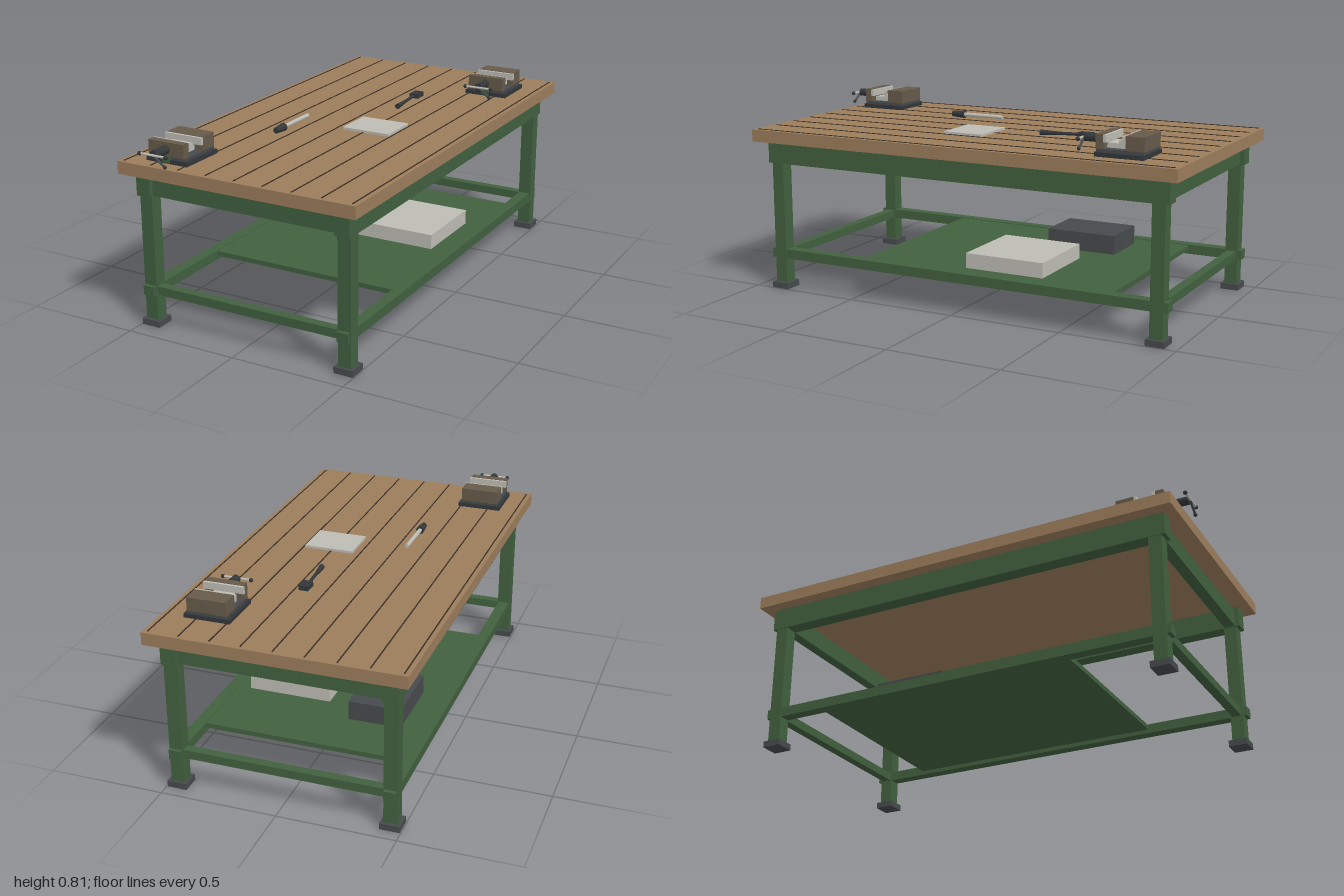
import * as THREE from 'three';

const colour = (name, hex) => {
  const m = new THREE.MeshStandardMaterial({ color: hex });
  m.name = name;
  return m;
};

export function createModel() {
  const wood = colour('wood', 0x9c7d5b);
  const green = colour('greenPaint', 0x41603f);
  const dark = colour('darkMetal', 0x474a4c);
  const black = colour('blackRubber', 0x33373a);
  const light = colour('lightMetal', 0xbdbcb4);
  const bronze = colour('jawMetal', 0x665a4a);
  const seam = colour('seam', 0x3a2f26);

  const group = (name, parent) => {
    const g = new THREE.Group();
    g.name = name;
    if (parent) parent.add(g);
    return g;
  };
  const mesh = (parent, name, geo, mat) => {
    const m = new THREE.Mesh(geo, mat);
    m.name = name;
    parent.add(m);
    return m;
  };
  // Box given by its limits on each axis
  const box = (parent, name, mat, [x0, x1], [y0, y1], [z0, z1]) => {
    const m = mesh(parent, name, new THREE.BoxGeometry(x1 - x0, y1 - y0, z1 - z0), mat);
    m.position.set((x0 + x1) / 2, (y0 + y1) / 2, (z0 + z1) / 2);
    return m;
  };
  // Round bar from point a (radius ra) to point b (radius rb)
  const rod = (parent, name, mat, a, b, ra, rb = ra, sides = 16) => {
    const p = new THREE.Vector3(...a), q = new THREE.Vector3(...b);
    const d = q.clone().sub(p);
    const m = mesh(parent, name, new THREE.CylinderGeometry(rb, ra, d.length(), sides), mat);
    m.position.copy(p).add(q).multiplyScalar(0.5);
    m.quaternion.setFromUnitVectors(new THREE.Vector3(0, 1, 0), d.normalize());
    return m;
  };
  const ball = (parent, name, mat, p, r) =>
    mesh(parent, name, new THREE.SphereGeometry(r, 12, 8), mat).position.set(...p);

  const root = group('workbench');

  // Table and frame share a centre slightly behind the origin
  const table = group('table', root);
  table.position.z = -0.0145;
  box(table, 'tabletop', wood, [-0.537, 0.537], [0.665, 0.718], [-0.985, 0.985]);
  for (let i = -4; i <= 4; i++) {
    const x = i * 0.129;
    box(table, 'plankSeam', seam, [x - 0.0025, x + 0.0025], [0.716, 0.7205], [-0.968, 0.968]);
  }

  for (const s of [-1, 1]) {
    for (const t of [-1, 1]) {
      const x = s * 0.454, z = t * 0.893;
      box(table, 'leg', green, [x - 0.029, x + 0.029], [0.02, 0.665], [z - 0.028, z + 0.028]);
      box(table, 'foot', dark, [x - 0.042, x + 0.042], [0, 0.027], [z - 0.041, z + 0.041]);
    }
    // Long rails run through the legs and stick out at both ends
    const x = s * 0.454;
    box(table, 'sideApron', green, [x - 0.032, x + 0.032], [0.567, 0.662], [-0.938, 0.938]);
    box(table, 'lowerSideRail', green, [x - 0.025, x + 0.025], [0.137, 0.179], [-0.938, 0.938]);
    // Short rails between the legs
    const z = s * 0.893;
    box(table, 'endApron', green, [-0.43, 0.43], [0.57, 0.65], [z - 0.024, z + 0.024]);
    box(table, 'lowerEndRail', green, [-0.43, 0.43], [0.138, 0.175], [z - 0.02, z + 0.02]);
  }
  box(table, 'shelf', green, [-0.44, 0.44], [0.155, 0.176], [-0.69, 0.48]);

  // Boxes stored on the shelf
  box(root, 'lightCrate', light, [0.008, 0.374], [0.176, 0.241], [-0.365, -0.005]);
  box(root, 'darkCrate', dark, [-0.346, -0.116], [0.176, 0.26], [-0.475, -0.155]);

  // Vise, built around its base centre at tabletop height
  const makeVise = (x, z) => {
    const v = group('vise', root);
    v.position.set(x, 0.718, z);
    box(v, 'basePlate', black, [-0.098, 0.098], [0, 0.018], [-0.104, 0.104]);
    box(v, 'baseBody', dark, [-0.085, 0.085], [0.018, 0.03], [-0.1, 0.1]);
    box(v, 'baseClamp', green, [-0.018, 0.018], [0.004, 0.026], [0.09, 0.107]);
    box(v, 'fixedJaw', bronze, [-0.084, 0.084], [0.03, 0.088], [-0.102, -0.022]);
    box(v, 'movingJaw', bronze, [-0.084, 0.084], [0.03, 0.088], [0.07, 0.104]);
    for (const [a, b] of [[-0.022, -0.01], [0.058, 0.07]])
      box(v, 'jawPlate', light, [-0.088, 0.088], [0.056, 0.086], [a, b]);
    box(v, 'slide', light, [-0.046, 0.046], [0.03, 0.05], [-0.022, 0.07]);
    box(v, 'slideBlock', light, [-0.046, 0.046], [0.05, 0.062], [-0.01, 0.02]);
    rod(v, 'screw', black, [0, 0.058, 0.1], [0, 0.058, 0.185], 0.018);
    // Crossbar and dropped lever
    rod(v, 'handle', light, [-0.062, 0.058, 0.19], [0.062, 0.058, 0.19], 0.005);
    for (const s of [-1, 1]) ball(v, 'handleKnob', black, [s * 0.062, 0.058, 0.19], 0.009);
    rod(v, 'lever', dark, [0, 0.058, 0.188], [0.055, 0.018, 0.188], 0.005);
    ball(v, 'leverKnob', black, [0.055, 0.018, 0.188], 0.008);
  };
  makeVise(-0.346, 0.8);
  makeVise(0.342, -0.72);

  // Screwdriver
  const driver = group('screwdriver', root);
  rod(driver, 'shaft', light, [-0.178, 0.735, 0.11], [-0.178, 0.735, 0.31], 0.009);
  rod(driver, 'grip', black, [-0.178, 0.735, 0.305], [-0.178, 0.735, 0.368], 0.018, 0.013);

  // Small hammer
  const hammer = group('hammer', root);
  box(hammer, 'head', black, [0.064, 0.106], [0.725, 0.746], [-0.452, -0.393]);
  rod(hammer, 'handle', black, [0.083, 0.735, -0.395], [0.09, 0.733, -0.28], 0.007);
  rod(hammer, 'grip', black, [0.089, 0.733, -0.29], [0.094, 0.732, -0.215], 0.008, 0.012);

  // Flat sheet lying on the top
  box(root, 'sheet', light, [0.032, 0.25], [0.718, 0.729], [-0.012, 0.17]);

  return root;
}
